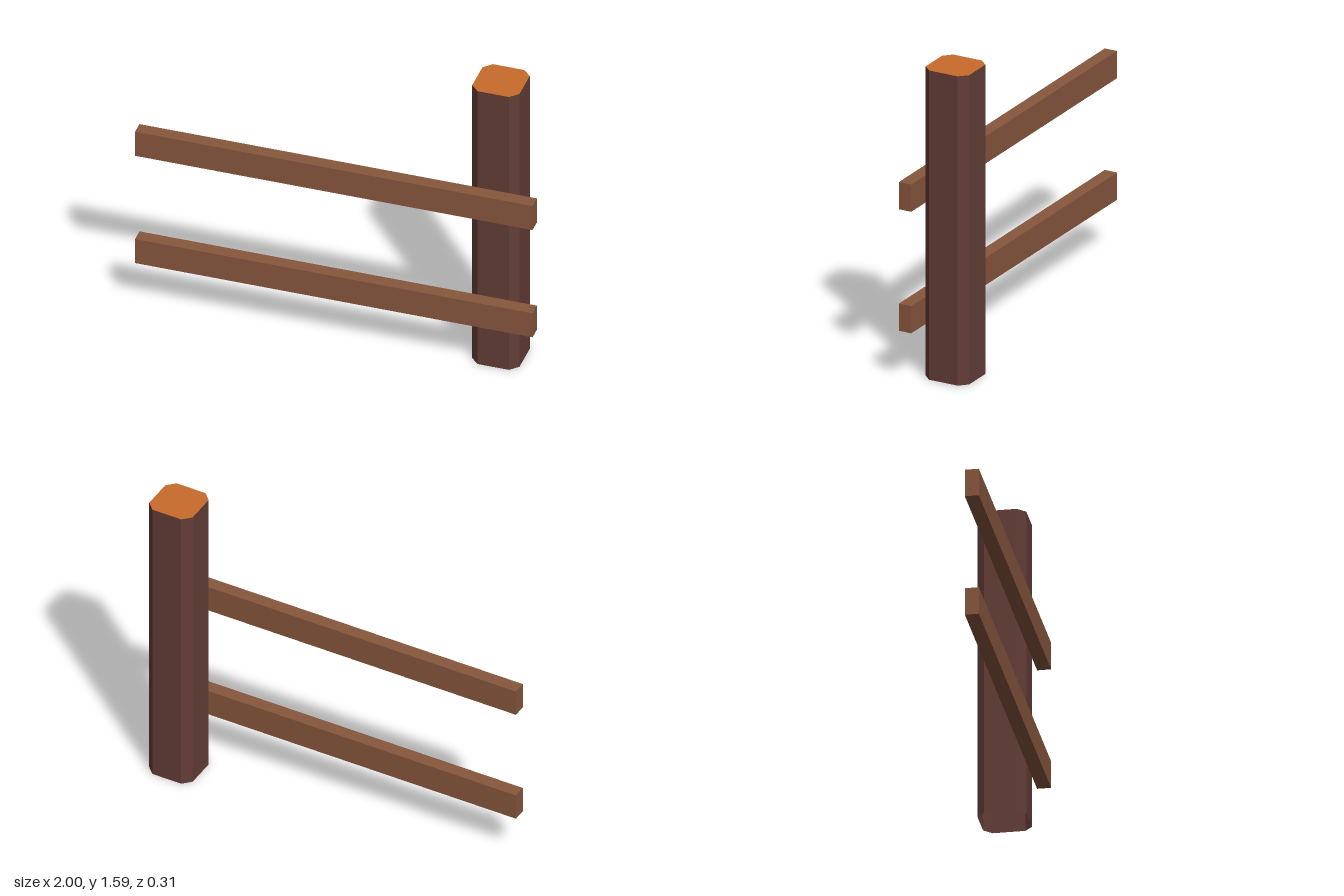
import * as THREE from 'three';

const postBark = new THREE.MeshStandardMaterial({ color: 0x633d36, side: THREE.DoubleSide });
postBark.name = 'postBark';
const railWood = new THREE.MeshStandardMaterial({ color: 0x87563d });
railWood.name = 'railWood';
const cutWood = new THREE.MeshStandardMaterial({ color: 0xc86b2c, side: THREE.DoubleSide });
cutWood.name = 'cutWood';

const HEIGHT = 1.59;

// Square with cut corners, counterclockwise
function chamferedSquare(half, cut) {
  const inner = half - cut;
  return [
    [-inner, -half], [inner, -half], [half, -inner], [half, inner],
    [inner, half], [-inner, half], [-half, inner], [-half, -inner],
  ].map(([x, y]) => new THREE.Vector2(x, y));
}

// Upright walls around an outline, open at both ends
function wallGeometry(outline, height) {
  const positions = [];
  outline.forEach((a, i) => {
    const b = outline[(i + 1) % outline.length];
    const a0 = [a.x, 0, -a.y], b0 = [b.x, 0, -b.y];
    const a1 = [a.x, height, -a.y], b1 = [b.x, height, -b.y];
    positions.push(...a0, ...b0, ...b1, ...a0, ...b1, ...a1);
  });
  const geometry = new THREE.BufferGeometry();
  geometry.setAttribute('position', new THREE.Float32BufferAttribute(positions, 3));
  geometry.computeVertexNormals();
  return geometry;
}

export function createModel() {
  const fence = new THREE.Group();
  fence.name = 'fence';

  // Post: hollow chamfered walls with a cut-wood top
  const post = new THREE.Group();
  post.name = 'post';
  post.position.set(0.78, 0, -0.034);
  const outline = chamferedSquare(0.119, 0.04);
  const walls = new THREE.Mesh(wallGeometry(outline, HEIGHT), postBark);
  walls.name = 'postWalls';
  const top = new THREE.Mesh(
    new THREE.ShapeGeometry(new THREE.Shape(outline)).rotateX(-Math.PI / 2), cutWood);
  top.name = 'postTop';
  top.position.y = HEIGHT;
  post.add(walls, top);
  fence.add(post);

  // Two horizontal rails on the front of the post
  [['lowerRail', 0.335], ['upperRail', 0.96]].forEach(([name, y]) => {
    const rail = new THREE.Mesh(new THREE.BoxGeometry(2, 0.14, 0.068), railWood);
    rail.name = name;
    rail.position.set(0, y, 0.119);
    fence.add(rail);
  });

  return fence;
}
